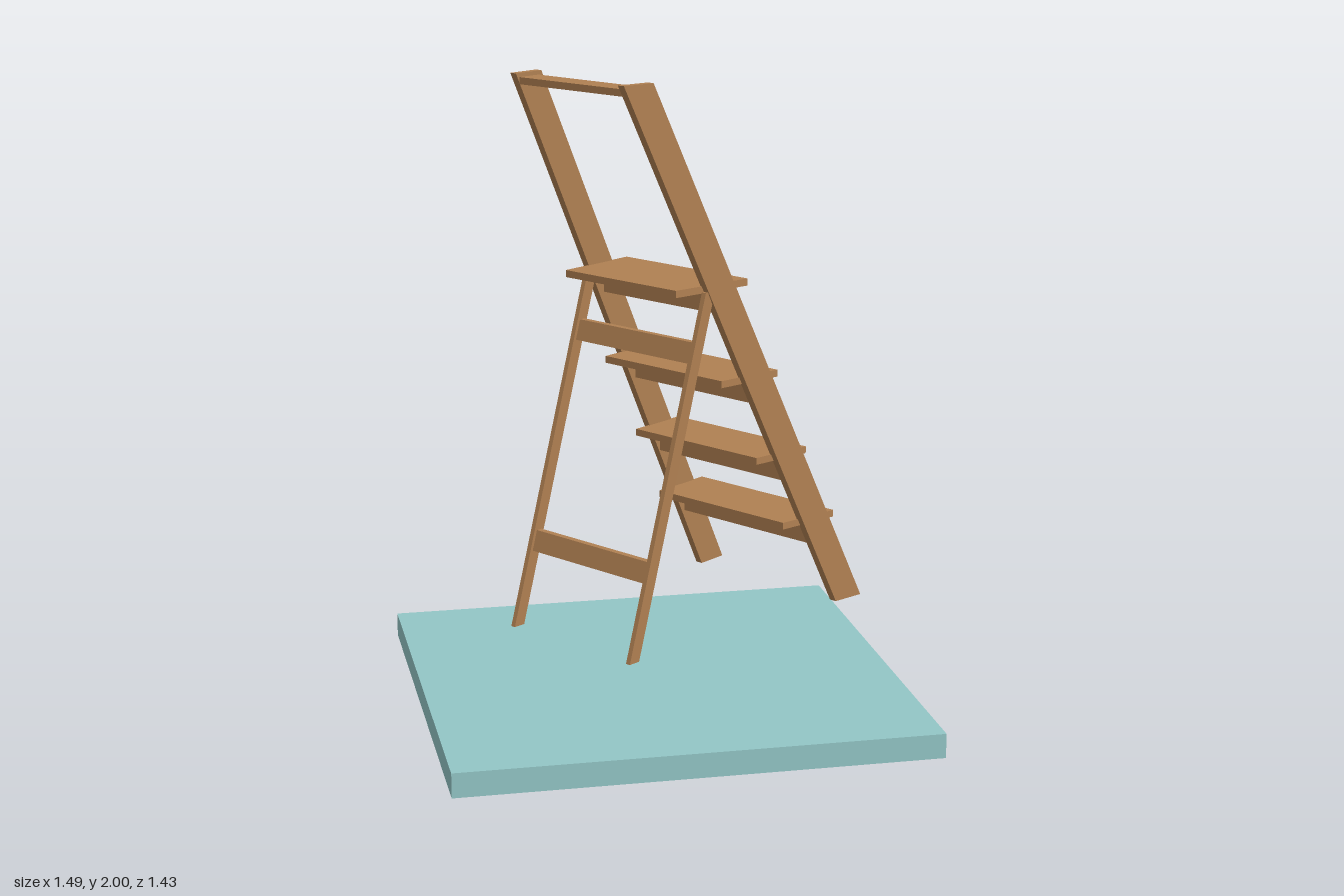
import * as THREE from 'three';

const wood = new THREE.MeshStandardMaterial({ color: 0xb08052 });
wood.name = 'wood';
const teal = new THREE.MeshStandardMaterial({ color: 0x93c6c6 });
teal.name = 'pale teal';

const lerp = (a, b, t) => a + (b - a) * t;

// The two side rails splay apart towards the foot: mid-line of each as z over x
const rightRail = (x) => -0.209 - 0.052 * x;
const leftRail = (x) => 0.297 + 0.108 * x;

// Unit box whose corners are placed by rule(s, t, r), each 0..1 along x, y, z
function block(name, rule) {
  const geo = new THREE.BoxGeometry(1, 1, 1);
  const p = geo.attributes.position;
  for (let i = 0; i < p.count; i++) {
    p.setXYZ(i, ...rule(p.getX(i) + 0.5, p.getY(i) + 0.5, p.getZ(i) + 0.5));
  }
  geo.computeVertexNormals();
  const mesh = new THREE.Mesh(geo, wood);
  mesh.name = name;
  return mesh;
}

// Plank spanning the rails; lean shifts its top edge in x
function plank(name, x0, x1, y0, y1, lean = 0) {
  return block(name, (s, t, r) => {
    const x = lerp(x0, x1, s);
    return [x + lean * t, lerp(y0, y1, t), lerp(rightRail(x) + 0.008, leftRail(x) - 0.008, r)];
  });
}

export function createModel() {
  const model = new THREE.Group();
  model.name = 'stepladderOnBase';

  // Base slab
  const base = new THREE.Mesh(new THREE.BoxGeometry(1.485, 0.077, 1.43), teal);
  base.name = 'base';
  base.position.y = 0.0385;
  model.add(base);

  // Ladder, turned on the base; its climbing side faces local +x
  const ladder = new THREE.Group();
  ladder.name = 'ladder';
  ladder.rotation.y = THREE.MathUtils.degToRad(34.9);
  model.add(ladder);

  // Side rails
  for (const [name, rail] of [['rightRail', rightRail], ['leftRail', leftRail]]) {
    ladder.add(block(name, (s, t, r) => {
      const x = lerp(0.47, -0.405, t) + 0.11 * s;
      return [x, lerp(0.275, 2, t), rail(x) + (r - 0.5) * 0.024];
    }));
  }

  // Treads, each with an apron board: back x, front x, top y, apron front x
  const steps = [
    [-0.19, 0.094, 1.378, 0.0],
    [-0.008, 0.222, 1.075, 0.15],
    [0.138, 0.348, 0.808, 0.273],
    [0.255, 0.473, 0.576, 0.398],
  ];
  for (const [x0, x1, y, apron] of steps) {
    ladder.add(plank('tread', x0, x1, y - 0.022, y));
    ladder.add(plank('treadApron', apron - 0.02, apron, y - 0.094, y - 0.02));
  }

  // Crossbar joining the rail tops
  ladder.add(plank('topCrossbar', -0.39, -0.308, 1.967, 1.988));

  // Rear legs
  const legX = (y) => lerp(-0.39, -0.07, (y - 0.275) / 1.085);
  for (const [name, foot, top] of [['rightLeg', -0.216, -0.204], ['leftLeg', 0.28, 0.289]]) {
    ladder.add(block(name, (s, t, r) => {
      const y = lerp(0.275, 1.36, t);
      return [legX(y) + (s - 0.5) * 0.04, y, lerp(foot, top, t) + (r - 0.5) * 0.016];
    }));
  }

  // Braces between the rear legs
  for (const [name, y0, y1] of [['lowerBrace', 0.507, 0.57], ['upperBrace', 1.15, 1.212]]) {
    ladder.add(block(name, (s, t, r) => {
      const y = lerp(y0, y1, t);
      return [legX(y) + (s - 0.5) * 0.02, y, lerp(-0.206, 0.28, r)];
    }));
  }

  return model;
}
